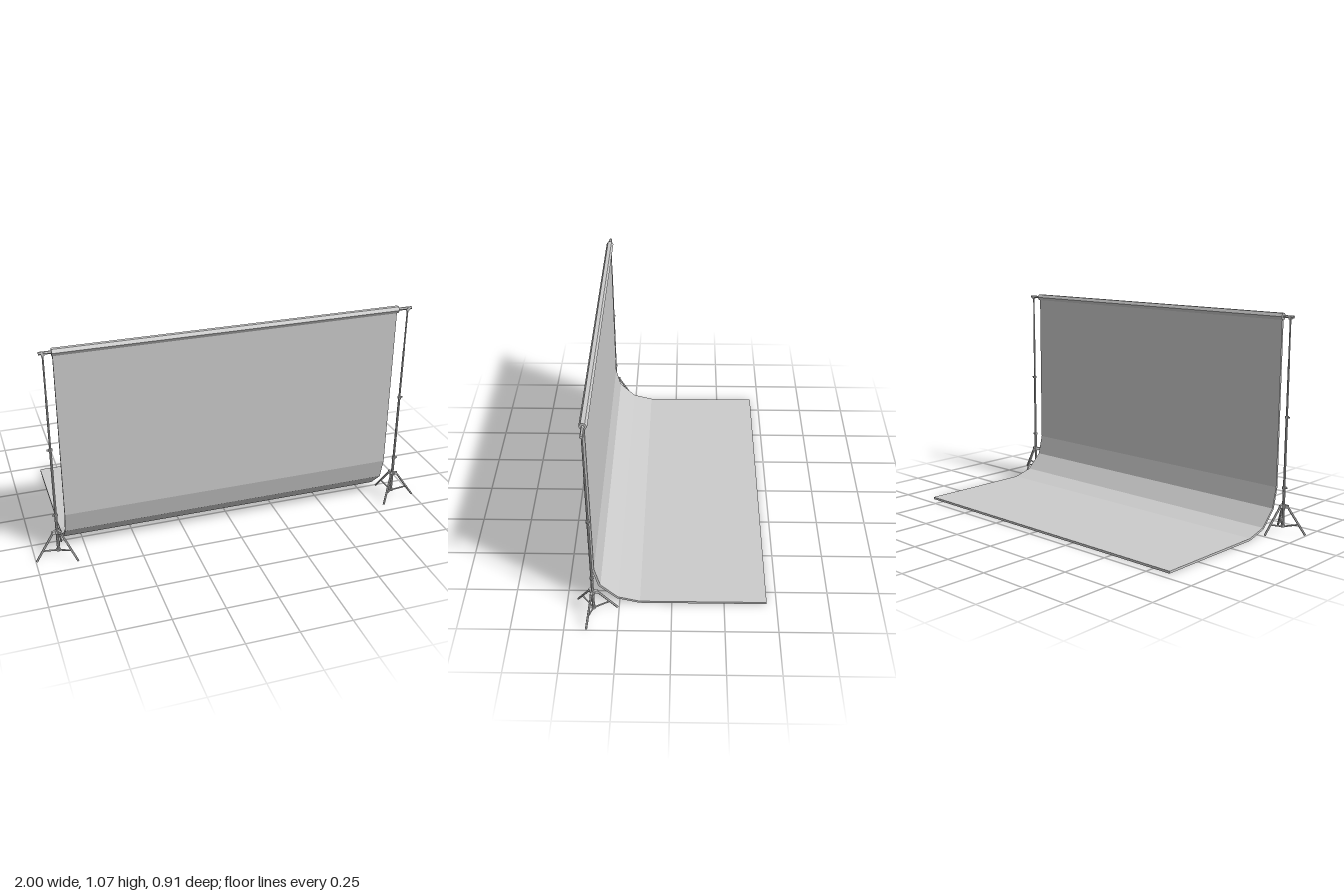
import * as THREE from 'three';

const material = new THREE.MeshStandardMaterial({ color: 0xcccccc, flatShading: true });
const UP = new THREE.Vector3(0, 1, 0);
const POLE_X = 0.886, POLE_Z = 0.368, BAR_Y = 1.061;

function add(parent, name, geometry, x = 0, y = 0, z = 0) {
  const mesh = new THREE.Mesh(geometry, material);
  mesh.name = name;
  mesh.position.set(x, y, z);
  parent.add(mesh);
  return mesh;
}

// Hexagonal rod between two points
function rod(parent, name, a, b, radius, sides = 6) {
  const dir = b.clone().sub(a);
  const mid = a.clone().add(b).multiplyScalar(0.5);
  const mesh = add(parent, name, new THREE.CylinderGeometry(radius, radius, dir.length(), sides), mid.x, mid.y, mid.z);
  mesh.quaternion.setFromUnitVectors(UP, dir.normalize());
  return mesh;
}

// Offsets a centre line to both sides with mitred corners
function thicken(line, half) {
  const left = [], right = [];
  line.forEach((p, i) => {
    const d1 = p.clone().sub(line[Math.max(i - 1, 0)]).normalize();
    const d2 = line[Math.min(i + 1, line.length - 1)].clone().sub(p).normalize();
    const t = d1.clone().add(d2).normalize();
    const n = new THREE.Vector2(-t.y, t.x);
    const along = i === 0 ? d2 : d1;
    const k = half / Math.max(0.3, n.dot(new THREE.Vector2(-along.y, along.x)));
    left.push(p.clone().addScaledVector(n, k));
    right.unshift(p.clone().addScaledVector(n, -k));
  });
  return new THREE.Shape([...left, ...right]);
}

// Telescopic stand on three braced legs, standing at its own origin
function createStand() {
  const stand = new THREE.Group();
  stand.name = 'stand';
  const sections = [[0.03, 0.23, 0.007], [0.22, 0.58, 0.006], [0.57, 0.85, 0.005], [0.84, 1.055, 0.004]];
  for (const [y0, y1, r] of sections) {
    add(stand, 'poleSection', new THREE.CylinderGeometry(r, r, y1 - y0, 8), 0, (y0 + y1) / 2, 0);
  }
  // Clamps with their tightening knobs
  for (const y of [0.23, 0.58]) {
    add(stand, 'clamp', new THREE.CylinderGeometry(0.01, 0.01, 0.011, 8), 0, y, 0);
    add(stand, 'clampKnob', new THREE.BoxGeometry(0.012, 0.007, 0.005), 0.011, y, 0);
  }
  add(stand, 'upperCollar', new THREE.CylinderGeometry(0.013, 0.013, 0.017, 8), 0, 0.137, 0);
  add(stand, 'lowerCollar', new THREE.CylinderGeometry(0.011, 0.011, 0.012, 8), 0, 0.037, 0);
  for (let i = 0; i < 3; i++) {
    const leg = new THREE.Group();
    leg.name = 'tripodLeg';
    leg.rotation.y = -0.25 - i * Math.PI * 2 / 3;
    stand.add(leg);
    const hip = new THREE.Vector3(0.02, 0.138, 0);
    const foot = new THREE.Vector3(0.114, 0.006, 0);
    rod(leg, 'leg', hip, foot, 0.0055);
    rod(leg, 'brace', new THREE.Vector3(0.01, 0.036, 0), hip.clone().lerp(foot, 0.63), 0.004);
    add(leg, 'hinge', new THREE.BoxGeometry(0.018, 0.016, 0.012), 0.016, 0.137, 0);
  }
  return stand;
}

export function createModel() {
  const model = new THREE.Group();
  model.name = 'backdropStand';

  // Two mirrored stands
  for (const side of [1, -1]) {
    const stand = createStand();
    stand.name = side > 0 ? 'leftStand' : 'rightStand';
    stand.position.set(side * POLE_X, 0, POLE_Z);
    if (side < 0) {
      // Mirror by rotating half a turn and reversing the legs' order
      stand.children.forEach((part) => {
        if (part.name === 'tripodLeg') part.rotation.y = Math.PI - part.rotation.y;
        else part.position.x *= -1;
      });
    }
    model.add(stand);
    add(model, 'barSocket', new THREE.BoxGeometry(0.014, 0.016, 0.014), side * POLE_X, BAR_Y - 0.004, POLE_Z);
  }

  // Crossbar and the fabric roll around it
  const bar = add(model, 'crossbar', new THREE.CylinderGeometry(0.0075, 0.0075, 1.81, 6), 0, BAR_Y, POLE_Z);
  bar.rotation.z = Math.PI / 2;
  const rollGeometry = new THREE.CylinderGeometry(0.0185, 0.0185, 1.68, 6);
  rollGeometry.rotateZ(Math.PI / 2);
  add(model, 'fabricRoll', rollGeometry, -0.008, BAR_Y, POLE_Z);

  // Backdrop sheet: hangs down, then sweeps back along the floor
  const line = [[0.368, 1.06], [0.368, 0.225], [0.342, 0.12], [0.26, 0.038], [0.153, 0.009], [-0.453, 0.009]]
    .map(([z, y]) => new THREE.Vector2(-z, y));
  const sheet = new THREE.ExtrudeGeometry(thicken(line, 0.0055), { depth: 1.67, bevelEnabled: false });
  sheet.rotateY(Math.PI / 2);
  add(model, 'backdropSheet', sheet, -0.844, 0, 0);

  return model;
}
